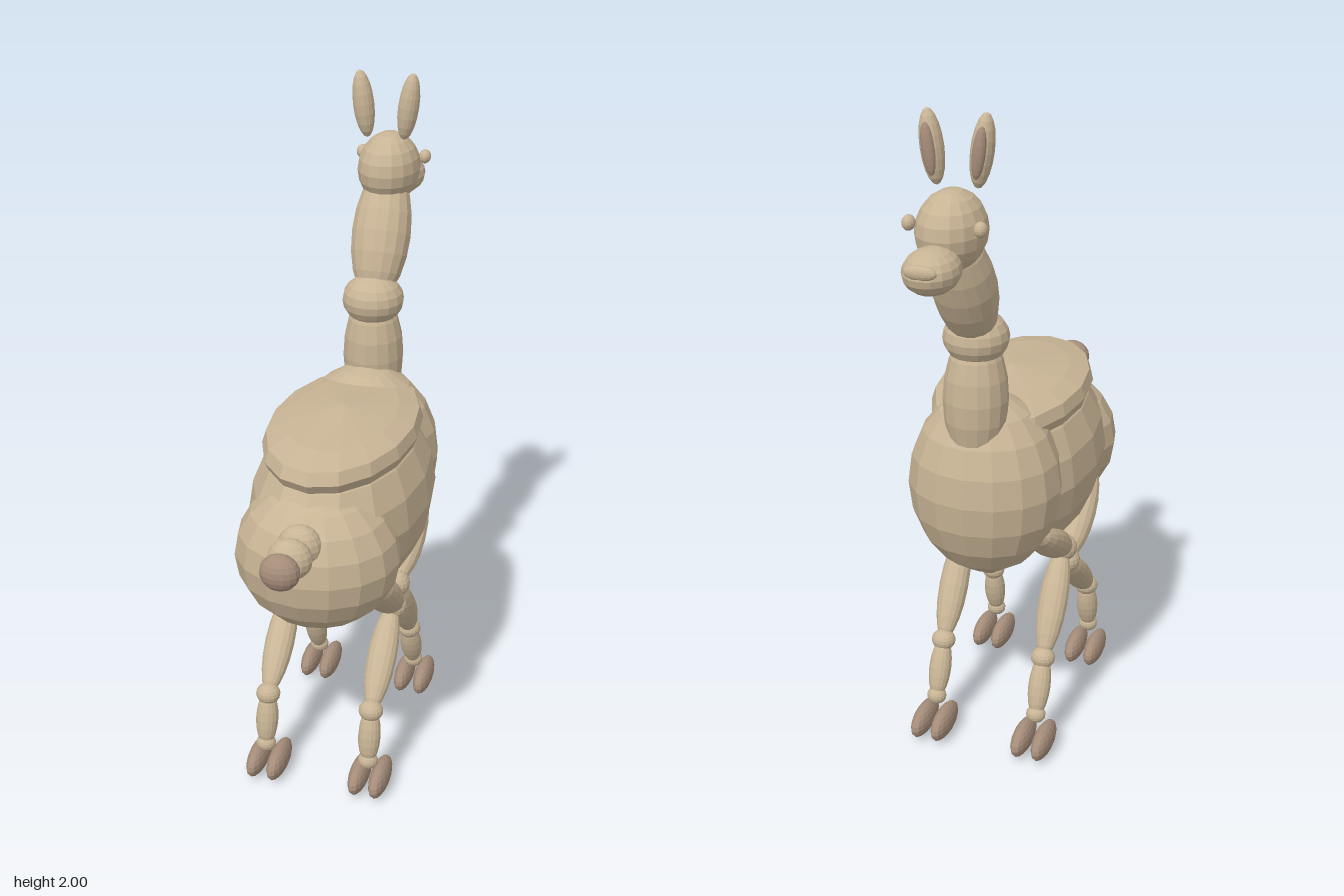
import * as THREE from 'three';

const mat = (name, color) => {
  const m = new THREE.MeshStandardMaterial({ color, flatShading: true });
  m.name = name;
  return m;
};

export function createModel() {
  const group = new THREE.Group();
  const fur = mat('tan fur', 0xc8b495);
  const hoof = mat('brown hoof', 0xa68d7a);
  const ball = new THREE.SphereGeometry(1, 16, 10);

  // Faceted ellipsoid with centre and radii
  const blob = (name, pos, radii, material = fur) => {
    const m = new THREE.Mesh(ball, material);
    m.name = name;
    m.position.set(...pos);
    m.scale.set(...radii);
    group.add(m);
    return m;
  };
  // Ellipsoid stretched between two points; over lengthens it past both ends
  const bone = (name, a, b, rx, rz, over = 1) => {
    const p = new THREE.Vector3(...a), q = new THREE.Vector3(...b);
    const d = q.clone().sub(p);
    const m = blob(name, p.clone().add(q).multiplyScalar(0.5).toArray(), [rx, d.length() / 2 * over, rz]);
    m.quaternion.setFromUnitVectors(new THREE.Vector3(0, 1, 0), d.normalize());
    return m;
  };

  // Trunk
  blob('belly', [0, 0.85, 0.04], [0.26, 0.29, 0.43]);
  blob('chest', [0, 0.875, -0.21], [0.225, 0.28, 0.2]);
  blob('rump', [0, 0.8, 0.31], [0.24, 0.22, 0.215]);

  // Saddle blanket: oval disc with a bevelled rim and a shallow dome
  const profile = [[0, 1.03], [0.95, 1.03], [1, 1.06], [0.95, 1.095], [0.7, 1.115], [0.3, 1.13], [0, 1.142]]
    .map(([r, y]) => new THREE.Vector2(r, y));
  const blanket = new THREE.Mesh(new THREE.LatheGeometry(profile, 16), fur);
  blanket.name = 'blanket';
  blanket.position.z = 0.04;
  blanket.scale.set(0.22, 1, 0.375);
  group.add(blanket);

  // Neck and head
  bone('lowerNeck', [0, 0.97, -0.295], [0, 1.36, -0.28], 0.092, 0.092, 1.05);
  blob('neckJoint', [0, 1.345, -0.28], [0.093, 0.077, 0.093]);
  bone('upperNeck', [0, 1.36, -0.29], [0, 1.68, -0.45], 0.09, 0.085, 1.15);
  blob('head', [0, 1.7, -0.455], [0.093, 0.108, 0.12]);
  blob('snout', [0, 1.637, -0.6], [0.075, 0.06, 0.093]);
  blob('nose', [0, 1.657, -0.681], [0.045, 0.02, 0.015]);

  // Tail
  blob('tailRoot', [0, 0.91, 0.475], [0.063, 0.063, 0.048]);
  blob('tailMiddle', [0, 0.92, 0.565], [0.063, 0.06, 0.047]);
  blob('tailTip', [0, 0.93, 0.655], [0.056, 0.053, 0.042], hoof);

  // Rear and front legs: hip, knee, hock, ankle and foot as [y, z]
  const legs = [
    ['rear', [0.72, 0.31], [0.5, 0.068], [0.28, 0.31], [0.12, 0.34], 0.315],
    ['front', [0.74, -0.24], [0.56, 0.035], [0.28, -0.155], [0.12, -0.222], -0.243],
  ];
  for (const s of [-1, 1]) {
    blob('eye', [s * 0.097, 1.725, -0.508], [0.018, 0.021, 0.021]);
    const ear = blob('ear', [s * 0.068, 1.9, -0.41], [0.031, 0.1, 0.034]);
    const inner = blob('innerEar', [s * 0.068, 1.9, -0.437], [0.018, 0.07, 0.015], hoof);
    ear.rotation.z = inner.rotation.z = -s * 0.13;

    for (const [name, hip, knee, hock, ankle, footZ] of legs) {
      const x = s * 0.16;
      bone(name + 'Thigh', [x + s * 0.005, ...hip], [x, ...knee], 0.057, 0.048);
      blob(name + 'Knee', [x, ...knee], [0.045, 0.042, 0.042]);
      bone(name + 'Shin', [x, ...knee], [x, ...hock], 0.045, 0.04);
      blob(name + 'Hock', [x, ...hock], [0.037, 0.032, 0.035]);
      bone(name + 'Pastern', [x, ...hock], [x, ...ankle], 0.034, 0.033, 1.1);
      blob(name + 'Ankle', [x, ...ankle], [0.03, 0.027, 0.028]);
      for (const t of [-1, 1]) blob(name + 'Toe', [x + t * 0.032, 0.047, footZ], [0.029, 0.045, 0.093], hoof);
    }
  }
  return group;
}
